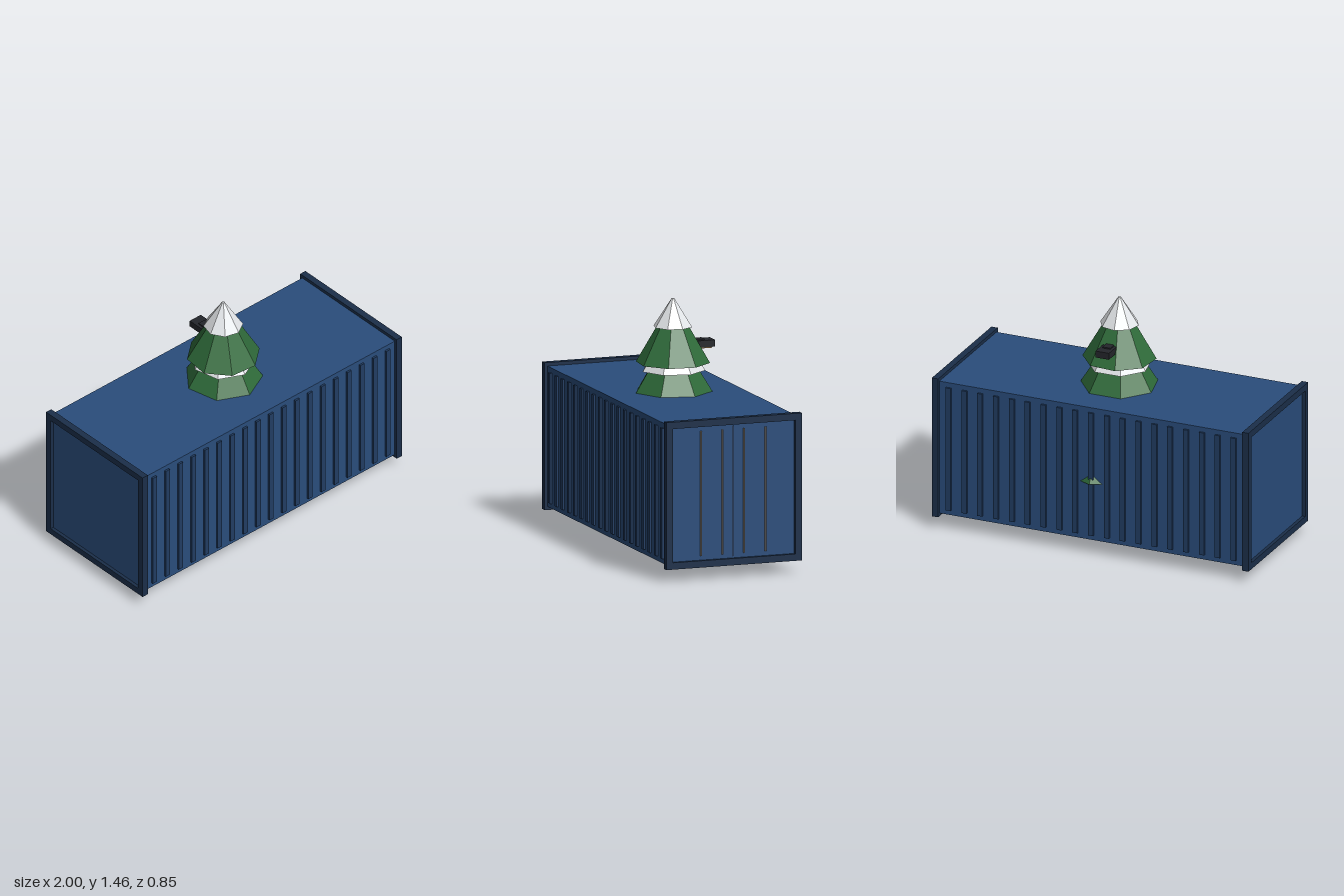
import * as THREE from 'three';

const mat = (color) => new THREE.MeshStandardMaterial({ color, flatShading: true });
const M = {
  blue: mat(0x2a4d7c), rib: mat(0x213d63), frame: mat(0x1b2f4a), rod: mat(0x8a8580), seam: mat(0x10182a),
  green: mat(0x2f6b3a), snow: mat(0xe4e7ea), bark: mat(0x4a3423), tan: mat(0x8b6b42), brown: mat(0x6b4e2e),
  red: mat(0x9a2a20), stone: mat(0x707276), black: mat(0x24262b),
};
const ZC = 0.006; // container centre in z

function add(parent, name, geometry, material, x = 0, y = 0, z = 0) {
  const mesh = new THREE.Mesh(geometry, material);
  mesh.name = name;
  mesh.position.set(x, y, z);
  parent.add(mesh);
  return mesh;
}
const box = (w, h, d) => new THREE.BoxGeometry(w, h, d);

// Box body, side ribs, end frames and door bars
function makeContainer() {
  const g = new THREE.Group();
  g.name = 'container';
  g.position.set(0, 0.506, ZC);
  add(g, 'body', box(1.96, 0.824, 0.8), M.blue);
  for (const s of [-1, 1]) {
    for (let i = -9; i <= 9; i++) add(g, 'rib', box(0.032, 0.764, 0.024), M.rib, i * 0.1, 0, s * 0.4);
    for (const e of [-1, 1]) {
      add(g, 'framePost', box(0.04, 0.864, 0.04), M.frame, s * 0.98, 0, e * 0.397);
      add(g, 'frameRail', box(0.04, 0.04, 0.754), M.frame, s * 0.98, e * 0.412, 0);
    }
  }
  add(g, 'doorSeam', box(0.006, 0.764, 0.007), M.seam, 0.981, 0, 0);
  for (const z of [-0.198, -0.066, 0.066, 0.198]) {
    add(g, 'lockingRod', new THREE.CylinderGeometry(0.006, 0.006, 0.73, 6), M.rod, 0.986, 0, z);
  }
  return g;
}

// Stacked cone tiers: [name, yBottom, yTop, rBottom, rTop, sides, turn, material]
function makeTree() {
  const g = new THREE.Group();
  g.name = 'tree';
  const tiers = [
    ['snowCap', 1.295, 1.46, 0.115, 0.008, 8, 0.15, M.snow],
    ['upperBranches', 1.085, 1.31, 0.215, 0.085, 8, 0.3, M.green],
    ['snowBand', 1.04, 1.13, 0.187, 0.13, 7, 0, M.snow],
    ['middleBranches', 0.77, 1.06, 0.32, 0.14, 7, 0, M.green],
    ['lowerBranches', 0.45, 0.8, 0.427, 0.2, 7, Math.PI, M.green],
  ];
  for (const [name, y0, y1, r0, r1, sides, turn, m] of tiers) {
    add(g, name, new THREE.CylinderGeometry(r1, r0, y1 - y0, sides), m, 0, (y0 + y1) / 2, 0).rotation.y = turn;
  }
  add(g, 'trunk', new THREE.CylinderGeometry(0.06, 0.08, 0.35, 7), M.bark, 0, 0.275, 0);
  return g;
}

// Small dark box hung on the back of the tree
function makeHangingBox() {
  const g = new THREE.Group();
  g.name = 'hangingBox';
  add(g, 'case', box(0.085, 0.04, 0.105), M.black, 0, 1.187, -0.19);
  add(g, 'caseLid', box(0.05, 0.012, 0.055), M.black, 0, 1.208, -0.158);
  add(g, 'caseBase', box(0.07, 0.008, 0.085), M.tan, 0, 1.164, -0.185);
  return g;
}

// Logs, slabs and stones that show through the floor
function makeBase() {
  const g = new THREE.Group();
  g.name = 'base';
  for (const s of [-1, 1]) {
    add(g, 'slab', box(0.15, 0.06, 0.17), M.tan, s * 0.305, 0.105, -0.015);
    const log = add(g, 'log', new THREE.CylinderGeometry(0.045, 0.045, 0.42, 7), M.brown, 0, 0.122, s * 0.18);
    log.rotation.z = Math.PI / 2;
  }
  add(g, 'redMat', new THREE.CylinderGeometry(0.15, 0.15, 0.04, 9), M.red, 0, 0.105, 0);
  const grey = add(g, 'greyStone', new THREE.ConeGeometry(0.12, 0.085, 6), M.stone, -0.03, 0.0625, 0);
  grey.rotation.x = Math.PI;
  const brown = add(g, 'brownStone', new THREE.CylinderGeometry(0.11, 0.025, 0.105, 5), M.brown, 0.18, 0.0525, 0.13);
  brown.rotation.y = 0.4;
  return g;
}

export function createModel() {
  const model = new THREE.Group();
  model.name = 'containerWithTree';
  model.add(makeContainer(), makeTree(), makeHangingBox(), makeBase());
  return model;
}
